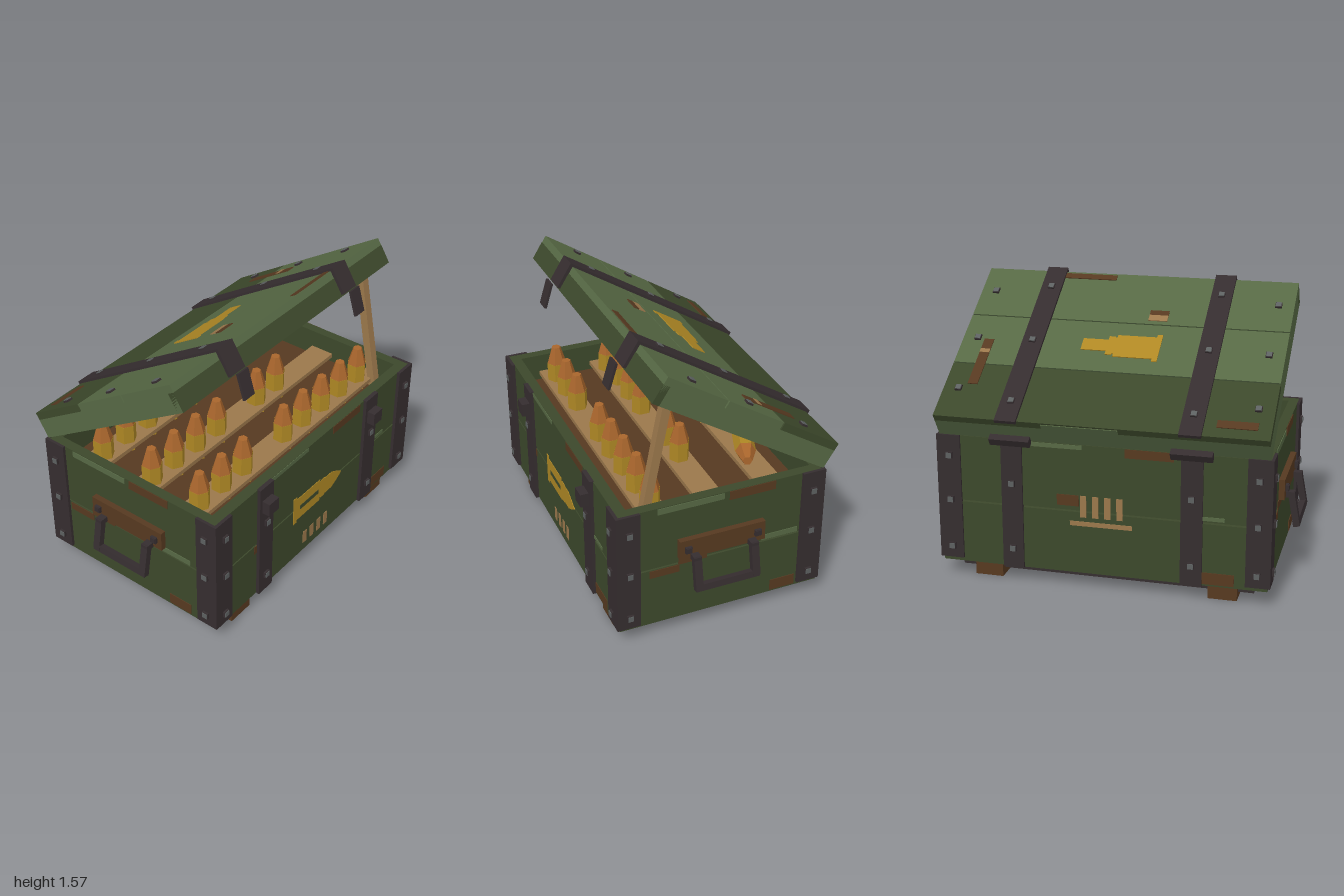
import * as THREE from 'three';

const mat = (name, color) => Object.assign(new THREE.MeshStandardMaterial({ color }), { name });
const GREEN = mat('olive green', 0x3c482b);
const LIGHT = mat('light green', 0x566844);
const METAL = mat('dark metal', 0x352d2f);
const BOLT = mat('bolt grey', 0x5c6060);
const BROWN = mat('brown wood', 0x563920);
const TAN = mat('tan wood', 0x9a774b);
const BRASS = mat('brass', 0xae8724);
const COPPER = mat('copper', 0xa8652c);

function add(parent, name, geo, material) {
  const m = new THREE.Mesh(geo, material);
  m.name = name;
  parent.add(m);
  return m;
}
// Box given by its limits on each axis
function box(parent, name, material, x0, x1, y0, y1, z0, z1) {
  const m = add(parent, name, new THREE.BoxGeometry(x1 - x0, y1 - y0, z1 - z0), material);
  m.position.set((x0 + x1) / 2, (y0 + y1) / 2, (z0 + z1) / 2);
  return m;
}
function group(parent, name) {
  const g = new THREE.Group();
  g.name = name;
  parent.add(g);
  return g;
}
// Square bolt with a raised head, centred on a point
function bolt(parent, x, y, z, axis, head = BOLT) {
  const s = new THREE.Vector3(0.036, 0.036, 0.036);
  s[axis] = 0.024;
  add(parent, 'boltWasher', new THREE.BoxGeometry(s.x, s.y, s.z), METAL).position.set(x, y, z);
  s.multiplyScalar(0.83);
  s[axis] = 0.032;
  add(parent, 'boltHead', new THREE.BoxGeometry(s.x, s.y, s.z), head).position.set(x, y, z);
}
// Flat painted cartridge silhouette in the XY plane
function emblem(parent, name, tip) {
  const half = [[-0.22, 0.09], [-0.19, 0.09], [-0.19, 0.073], [0.025, 0.073], [0.025, 0.055],
    [0.035, 0.055], [0.035, 0.062], [0.07, 0.062], ...tip];
  const pts = [...half, ...half.slice().reverse().map(([x, y]) => [x, -y])];
  const shape = new THREE.Shape(pts.map(([x, y]) => new THREE.Vector2(x, y)));
  return add(parent, name, new THREE.ExtrudeGeometry(shape, { depth: 0.005, bevelEnabled: false }), BRASS);
}

// Walls made of two planks each, lined with metal below
function buildBody(root) {
  const body = group(root, 'crateBody');
  for (const [y0, y1] of [[0.09, 0.436], [0.446, 0.81]]) {
    box(body, 'frontPlank', GREEN, -0.89, 0.89, y0, y1, 0.525, 0.585);
    box(body, 'backPlank', GREEN, -0.89, 0.89, y0, y1, -0.553, -0.5);
    for (const s of [-1, 1]) box(body, 'sidePlank', GREEN, s * 0.8625 - 0.0275, s * 0.8625 + 0.0275, y0, y1, -0.5, 0.525);
  }
  for (const s of [-1, 1]) {
    box(body, 'linerSide', METAL, s * 0.825 - 0.015, s * 0.825 + 0.015, 0.088, 0.63, -0.47, 0.51);
    box(body, 'baseSide', METAL, s * 0.795 - 0.015, s * 0.795 + 0.015, 0.037, 0.092, -0.47, 0.51);
  }
  box(body, 'linerFront', METAL, -0.84, 0.84, 0.09, 0.63, 0.505, 0.53);
  box(body, 'linerBack', METAL, -0.84, 0.84, 0.09, 0.63, -0.505, -0.465);
  box(body, 'baseFront', METAL, -0.81, 0.81, 0.037, 0.09, 0.48, 0.51);
  box(body, 'baseBack', METAL, -0.81, 0.81, 0.037, 0.09, -0.47, -0.44);
  box(body, 'floorUnderside', METAL, -0.84, 0.84, 0.61, 0.63, -0.5, 0.53);
  box(body, 'trayFloor', BROWN, -0.84, 0.84, 0.63, 0.65, -0.5, 0.53);

  // Grooved feet: two rails under a plate, closed by end blocks
  for (const s of [-1, 1]) {
    const x = s * 0.648;
    box(body, 'footPlate', BROWN, x - 0.078, x + 0.078, 0.04, 0.088, -0.46, 0.51);
    for (const d of [-0.052, 0.052]) box(body, 'footRail', BROWN, x + d - 0.026, x + d + 0.026, 0, 0.04, -0.46, 0.51);
    box(body, 'footFrontBlock', BROWN, x - 0.078, x + 0.078, 0, 0.088, 0.51, 0.56);
    box(body, 'footBackBlock', BROWN, x - 0.078, x + 0.078, 0, 0.088, -0.51, -0.46);
  }

  // Corner brackets with bolts
  for (const s of [-1, 1]) {
    for (const [zOut, d] of [[0.603, -1], [-0.563, 1]]) {
      const zIn = zOut + d * 0.13, zf = zOut + d * 0.018;
      box(body, 'cornerFace', METAL, s * 0.84 - 0.066, s * 0.84 + 0.066, 0.11, 0.812, Math.min(zOut, zf), Math.max(zOut, zf));
      box(body, 'cornerSide', METAL, s * 0.898 - 0.008, s * 0.898 + 0.008, 0.11, 0.812, Math.min(zOut, zIn), Math.max(zOut, zIn));
      for (const y of [0.7, 0.45, 0.18]) {
        bolt(body, s * 0.835, y, zOut, 'z');
        bolt(body, s * 0.906, y, zOut + d * 0.07, 'x');
      }
    }
    // Vertical straps, latch keepers and hinges
    const x = s * 0.487;
    box(body, 'frontStrap', METAL, x - 0.058, x + 0.058, 0.088, 0.812, 0.58, 0.604);
    box(body, 'backStrap', METAL, x - 0.058, x + 0.058, 0.088, 0.812, -0.564, -0.545);
    box(body, 'latchKeeper', METAL, x - 0.04, x + 0.04, 0.655, 0.732, 0.6, 0.65);
    const hinge = box(body, 'hinge', METAL, x - 0.11, x + 0.11, 0.79, 0.835, -0.595, -0.55);
    hinge.rotation.x = -0.565;
    for (const y of [0.57, 0.2]) {
      bolt(body, x, y, 0.604, 'z');
      bolt(body, x, y, -0.564, 'z');
    }
  }
}

// Worn paint, bare wood and tally marks
function buildMarkings(root) {
  const marks = group(root, 'paintMarks');
  const faceMarks = [[BROWN, 0.13, 0.39, 0.76, 0.808], [BROWN, 0.54, 0.715, 0.1, 0.165],
    [LIGHT, -0.43, -0.1, 0.785, 0.808], [LIGHT, 0.54, 0.66, 0.455, 0.476]];
  const sideMarks = [[BROWN, -0.28, -0.02, 0.757, 0.808], [LIGHT, 0.01, 0.375, 0.772, 0.806], [LIGHT, -0.42, -0.21, 0.45, 0.48],
    [BROWN, 0.255, 0.42, 0.388, 0.432], [BROWN, -0.42, -0.275, 0.1, 0.165], [BROWN, 0.1, 0.26, 0.432, 0.48]];
  for (const [m, a, b, y0, y1] of faceMarks) {
    box(marks, 'frontPatch', m, a, b, y0, y1, 0.583, 0.588);
    box(marks, 'backPatch', m, -b, -a, y0, y1, -0.557, -0.551);
  }
  for (const [m, a, b, y0, y1] of sideMarks) {
    box(marks, 'leftPatch', m, 0.888, 0.894, y0, y1, a, b);
    box(marks, 'rightPatch', m, -0.894, -0.888, y0, y1, -b, -a);
  }
  box(marks, 'frontPatch', BROWN, -0.57, -0.415, 0.385, 0.434, 0.583, 0.588);
  box(marks, 'backPatch', BROWN, 0.12, 0.24, 0.47, 0.53, -0.557, -0.551);
  for (let i = 0; i < 4; i++) {
    const x = -0.102 + i * 0.066;
    box(marks, 'frontTally', TAN, x - 0.017, x + 0.017, 0.143, 0.224, 0.583, 0.588);
    box(marks, 'backTally', TAN, x - 0.017, x + 0.017, 0.41, 0.53, -0.557, -0.551);
  }
  box(marks, 'tallyUnderline', TAN, -0.17, 0.17, 0.36, 0.385, -0.557, -0.551);
  emblem(marks, 'frontEmblem', [[0.075, 0.055], [0.14, 0.055], [0.19, 0.03], [0.235, 0]]).position.set(0, 0.435, 0.583);
  box(marks, 'emblemSlot', GREEN, -0.16, 0.01, 0.422, 0.448, 0.584, 0.59);
}

// Carrying handle on the +x side; the other is turned round
function buildHandle(root, turned) {
  const h = group(root, turned ? 'rightHandle' : 'leftHandle');
  box(h, 'handleBoard', BROWN, 0.885, 0.922, 0.48, 0.593, -0.215, 0.265);
  for (const z of [0.22, -0.17]) bolt(h, 0.925, 0.538, z, 'x', METAL);
  for (const z of [0.185, -0.137]) {
    box(h, 'handleArm', METAL, 0.915, 0.97, 0.475, 0.507, z - 0.021, z + 0.021);
    const leg = add(h, 'handleLeg', new THREE.BoxGeometry(0.035, 0.19, 0.042), METAL);
    leg.position.set(0.967, 0.412, z);
    leg.rotation.z = 0.19;
  }
  const grip = add(h, 'handleGrip', new THREE.BoxGeometry(0.035, 0.036, 0.36), METAL);
  grip.position.set(0.981, 0.328, 0.024);
  grip.rotation.z = 0.19;
  if (turned) {
    h.rotation.y = Math.PI;
    h.position.z = 0.04;
  }
}

// Six-sided cartridge standing on its base
function cartridge(parent) {
  const c = group(parent, 'cartridge');
  const part = (name, r1, r0, y0, y1, m) => {
    const g = new THREE.CylinderGeometry(r1, r0, y1 - y0, 6).toNonIndexed();
    g.computeVertexNormals();
    add(c, name, g, m).position.y = (y0 + y1) / 2;
  };
  part('casing', 0.057, 0.057, 0, 0.165, BRASS);
  part('bulletTip', 0.026, 0.056, 0.165, 0.265, COPPER);
  return c;
}
function buildContents(root) {
  const tray = group(root, 'cartridgeTray');
  const missing = [[3], [4, 7, 8], [5, 6, 7, 8]];
  [0.345, 0.025, -0.32].forEach((z, row) => {
    box(tray, 'rackRail', TAN, -0.84, 0.84, 0.68, 0.705, z - 0.073, z + 0.073);
    for (let i = 0; i < 9; i++) {
      if (!missing[row].includes(i)) cartridge(tray).position.set((i - 4) * 0.179, 0.65, z);
    }
  });
  const loose = cartridge(tray);
  loose.position.set(0.36, 0.76, -0.35);
  loose.rotation.set(0, -0.35, -Math.PI / 2);
}

// Lid in its own frame: hinge edge at the origin, front edge towards +z
function buildLid(root) {
  const lid = group(root, 'lid');
  lid.position.set(0, 0.812, -0.553);
  lid.rotation.x = -0.565;
  const L = 1.13, T = 0.15, U = 0.108;
  for (const s of [-1, 1]) box(lid, 'lidEnd', LIGHT, s * 0.87 - 0.02, s * 0.87 + 0.02, 0, U, 0, L);
  box(lid, 'lidFrontRail', GREEN, -0.89, 0.89, 0, U, L - 0.04, L + 0.002);
  box(lid, 'lidBackRail', LIGHT, -0.85, 0.85, 0, U, 0, 0.04);
  [[0, 0.379, GREEN], [0.387, 0.746, LIGHT], [0.754, L, LIGHT]].forEach(([a, b, m]) =>
    box(lid, 'lidPlank', m, -0.89, 0.89, U, T, a, b));

  // Straps over the lid, inner battens and hanging hasps
  for (const s of [-1, 1]) {
    const x = s * 0.487;
    box(lid, 'lidStrap', METAL, x - 0.058, x + 0.058, T - 0.005, T + 0.014, -0.015, L + 0.02);
    box(lid, 'lidStrapFront', METAL, x - 0.058, x + 0.058, 0.01, T + 0.014, L, L + 0.02);
    box(lid, 'innerBatten', TAN, x - 0.058, x + 0.058, U - 0.03, U, 0.04, L - 0.04);
    const knotX = s < 0 ? -0.477 : 0.465, knotZ = s < 0 ? 0.62 : 0.53;
    box(lid, 'battenKnot', METAL, knotX - 0.012, knotX + 0.012, U - 0.034, U - 0.028, knotZ - 0.014, knotZ + 0.014);
    for (const z of [0.125, 0.57, 0.99]) bolt(lid, x, T + 0.01, z, 'y');
    for (const z of [0.2, 0.575, 0.945]) bolt(lid, s * 0.805, T - 0.002, z, 'y');
    const hasp = add(root, 'latchHasp', new THREE.BoxGeometry(0.08, 0.145, 0.014), METAL);
    hasp.position.set(x, 1.383, 0.459);
    hasp.rotation.x = -0.3;
  }

  // Worn patches and emblem on top
  const top = (m, x0, x1, z0, z1, lift = 0) => box(lid, 'lidPatch', m, x0, x1, T - 0.002, T + 0.005 + lift, z0, z1);
  top(BROWN, -0.82, -0.61, 0.06, 0.108);
  top(BROWN, 0.71, 0.765, 0.235, 0.566);
  top(TAN, 0.71, 0.765, 0.465, 0.492, 0.002);
  top(BROWN, 0.13, 0.43, 1.078, 1.115);
  top(TAN, -0.22, -0.115, 0.778, 0.82);
  top(BROWN, -0.22, -0.115, 0.82, 0.855);
  box(lid, 'lidBackPatch', LIGHT, -0.11, 0.3, 0.09, 0.14, -0.004, 0.002);
  const e = emblem(lid, 'lidEmblem', [[0.07, 0.038], [0.21, 0.038]]);
  e.rotation.x = -Math.PI / 2;
  e.scale.y = 1.08;
  e.position.set(0, T, 0.574);
}

export function createModel() {
  const root = new THREE.Group();
  root.name = 'ammunitionCrate';
  buildBody(root);
  buildMarkings(root);
  buildHandle(root, false);
  buildHandle(root, true);
  buildContents(root);
  buildLid(root);

  // Wooden prop holding the lid open
  const prop = add(root, 'lidProp', new THREE.BoxGeometry(0.05, 0.71, 0.045), TAN);
  prop.position.set(0.791, 1.005, 0.358);
  prop.rotation.x = -0.19;
  return root;
}
